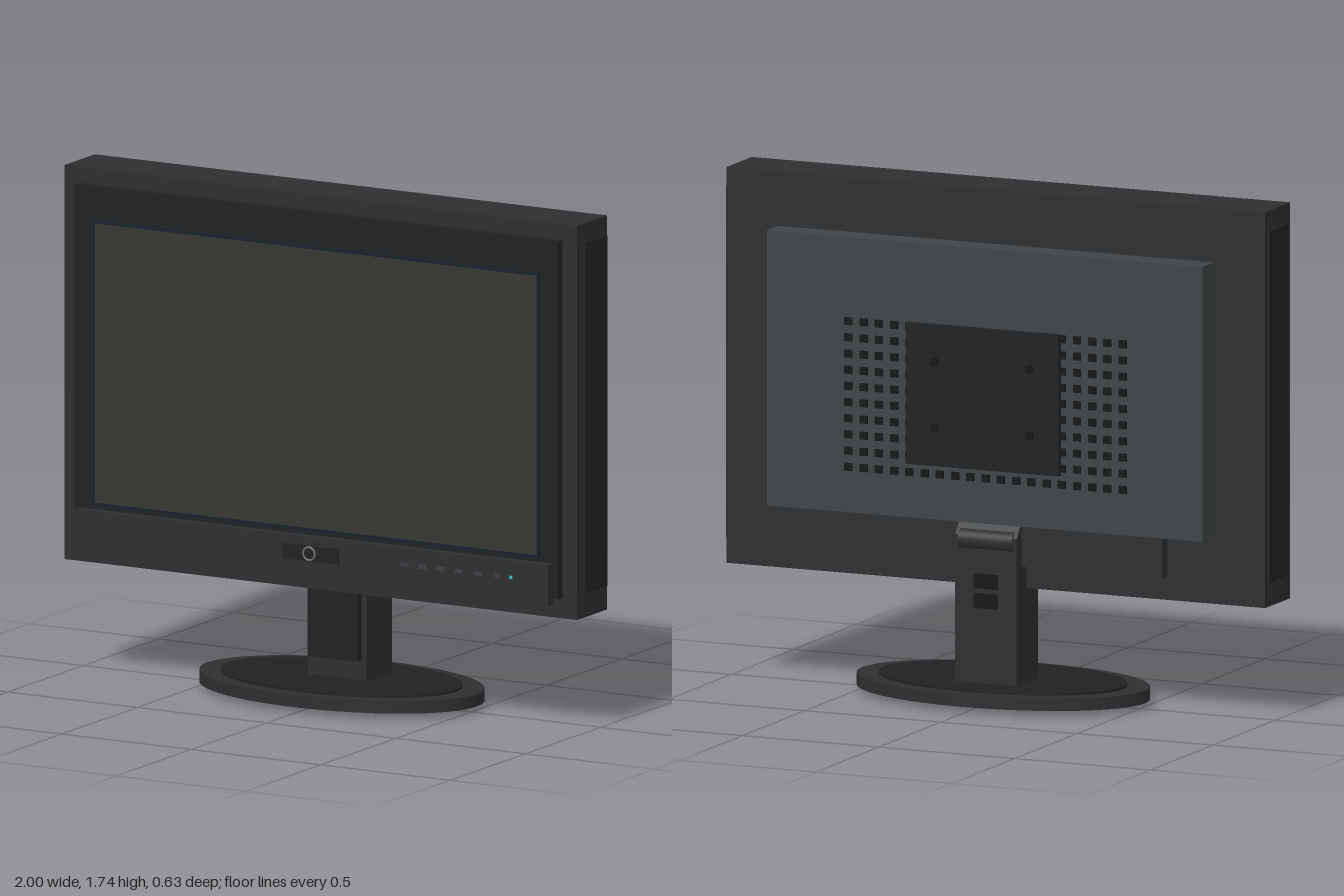
import * as THREE from 'three';

const mat = (color) => new THREE.MeshStandardMaterial({ color });
const M = {
  body: mat(0x2c2e30), dark: mat(0x1f2123), black: mat(0x141617),
  shell: mat(0x3f4446), screen: mat(0x363633), trim: mat(0x17202a),
  button: mat(0x3c3f42), metal: mat(0x6a6d70), led: mat(0x3fc8c0),
};

export function createModel() {
  const model = new THREE.Group();

  const add = (name, geometry, material, parent = model) => {
    const mesh = new THREE.Mesh(geometry, material);
    mesh.name = name;
    parent.add(mesh);
    return mesh;
  };
  // Box given by its extents on each axis
  const box = (name, material, [x0, x1], [y0, y1], [z0, z1], parent) => {
    const g = new THREE.BoxGeometry(x1 - x0, y1 - y0, z1 - z0);
    g.translate((x0 + x1) / 2, (y0 + y1) / 2, (z0 + z1) / 2);
    return add(name, g, material, parent);
  };
  // Rectangular ring facing +z
  const frame = (name, material, [x, y0, y1], [ix, iy0, iy1], [z0, z1]) => {
    const s = new THREE.Shape();
    s.moveTo(-x, y0).lineTo(x, y0).lineTo(x, y1).lineTo(-x, y1).closePath();
    const h = new THREE.Path();
    h.moveTo(-ix, iy0).lineTo(-ix, iy1).lineTo(ix, iy1).lineTo(ix, iy0).closePath();
    s.holes.push(h);
    const g = new THREE.ExtrudeGeometry(s, { depth: z1 - z0, bevelEnabled: false });
    g.translate(0, 0, z0);
    return add(name, g, material);
  };
  const group = (name) => {
    const g = new THREE.Group();
    g.name = name;
    model.add(g);
    return g;
  };

  // Main housing and side panels
  box('housing', M.body, [-0.99, 0.99], [0.39, 1.735], [-0.06, 0.14]);
  for (const s of [-1, 1]) {
    const x = s > 0 ? [0.98, 1] : [-1, -0.98];
    box(s > 0 ? 'leftSidePanel' : 'rightSidePanel', M.dark, x, [0.475, 1.67], [-0.045, 0.1]);
  }

  // Bezel, screen trim and screen
  frame('bezel', M.dark, [0.935, 0.46, 1.68], [0.86, 0.6, 1.56], [0.135, 0.17]);
  frame('screenTrim', M.trim, [0.864, 0.595, 1.565], [0.855, 0.603, 1.557], [0.14, 0.177]);
  box('screen', M.screen, [-0.857, 0.857], [0.6, 1.56], [0.135, 0.173]);

  // Control strip with badge plate, buttons and power light
  box('controlStrip', M.body, [-0.918, 0.913], [0.44, 0.58], [0.16, 0.2]);
  box('badgePlate', M.dark, [-0.11, 0.105], [0.497, 0.55], [0.19, 0.205]);
  const badge = add('badgeDisc', new THREE.CylinderGeometry(0.022, 0.022, 0.012, 32), M.dark);
  badge.rotation.x = Math.PI / 2;
  badge.position.set(-0.003, 0.525, 0.208);
  const ring = add('badgeRing', new THREE.TorusGeometry(0.022, 0.004, 8, 32), M.metal);
  ring.position.set(-0.003, 0.525, 0.213);
  const buttons = group('buttons');
  [0.36, 0.43, 0.5, 0.57, 0.645, 0.72].forEach((x, i) => {
    const w = i < 5 ? 0.016 : 0.01;
    box('button', M.button, [x - w, x + w], [0.517, 0.53], [0.195, 0.205], buttons);
  });
  box('powerLight', M.led, [0.766, 0.776], [0.519, 0.529], [0.195, 0.204]);

  // Rear shell and lower ledge
  box('rearShell', M.shell, [-0.8, 0.8], [0.615, 1.55], [-0.15, -0.05]);
  box('rearLedge', M.body, [-0.63, 0.63], [0.47, 0.62], [-0.1, -0.05]);

  // Grid of rear vents; those under the mounting plate are skipped
  const vents = group('rearVents');
  for (let c = -9; c <= 9; c++) {
    for (let r = 0; r < 10; r++) {
      const x = c * 0.056 - 0.005, y = 0.77 + r * 0.055;
      if (Math.abs(x) < 0.27 && y > 0.81) continue;
      box('vent', M.black, [x - 0.014, x + 0.014], [y - 0.013, y + 0.013], [-0.157, -0.14], vents);
    }
  }

  // Mounting plate and its screws
  box('mountingPlate', M.dark, [-0.28, 0.28], [0.8, 1.28], [-0.17, -0.14]);
  for (const x of [-0.175, 0.175]) {
    for (const y of [0.93, 1.157]) {
      const screw = add('plateScrew', new THREE.CylinderGeometry(0.015, 0.015, 0.02, 16), M.black);
      screw.rotation.x = Math.PI / 2;
      screw.position.set(x, y, -0.17);
    }
  }

  // Stand column: full depth below, stepped back behind the housing
  const profile = new THREE.Shape();
  profile.moveTo(-0.03, 0.06).lineTo(-0.03, 0.4).lineTo(0.05, 0.4).lineTo(0.05, 0.615)
    .lineTo(0.105, 0.615).lineTo(0.14, 0.57).lineTo(0.14, 0.06).closePath();
  const column = new THREE.ExtrudeGeometry(profile, { depth: 0.226, bevelEnabled: false });
  column.translate(0, 0, -0.113);
  column.rotateY(Math.PI / 2);
  add('standColumn', column, M.body);
  box('columnFrontCover', M.dark, [-0.1, 0.093], [0.138, 0.4], [0.02, 0.057]);
  const hinge = add('hinge', new THREE.CylinderGeometry(0.038, 0.038, 0.2, 32), M.body);
  hinge.rotation.z = Math.PI / 2;
  hinge.position.set(0, 0.553, -0.113);
  for (const y of [0.325, 0.392]) {
    box('cableSlot', M.black, [-0.042, 0.042], [y, y + 0.05], [-0.146, -0.13]);
  }

  // Oval base with raised centre and two feet
  const disc = (name, rx, rz, y0, y1, material, x = 0) => {
    const g = new THREE.CylinderGeometry(1, 1, y1 - y0, 64);
    g.scale(rx, 1, rz);
    g.translate(x, (y0 + y1) / 2, 0);
    add(name, g, material);
  };
  disc('baseRim', 0.52, 0.315, 0.02, 0.062, M.body);
  disc('baseCentre', 0.44, 0.268, 0.05, 0.07, M.dark);
  for (const x of [-0.283, 0.276]) disc('baseFoot', 0.04, 0.04, 0, 0.03, M.dark, x);

  return model;
}
